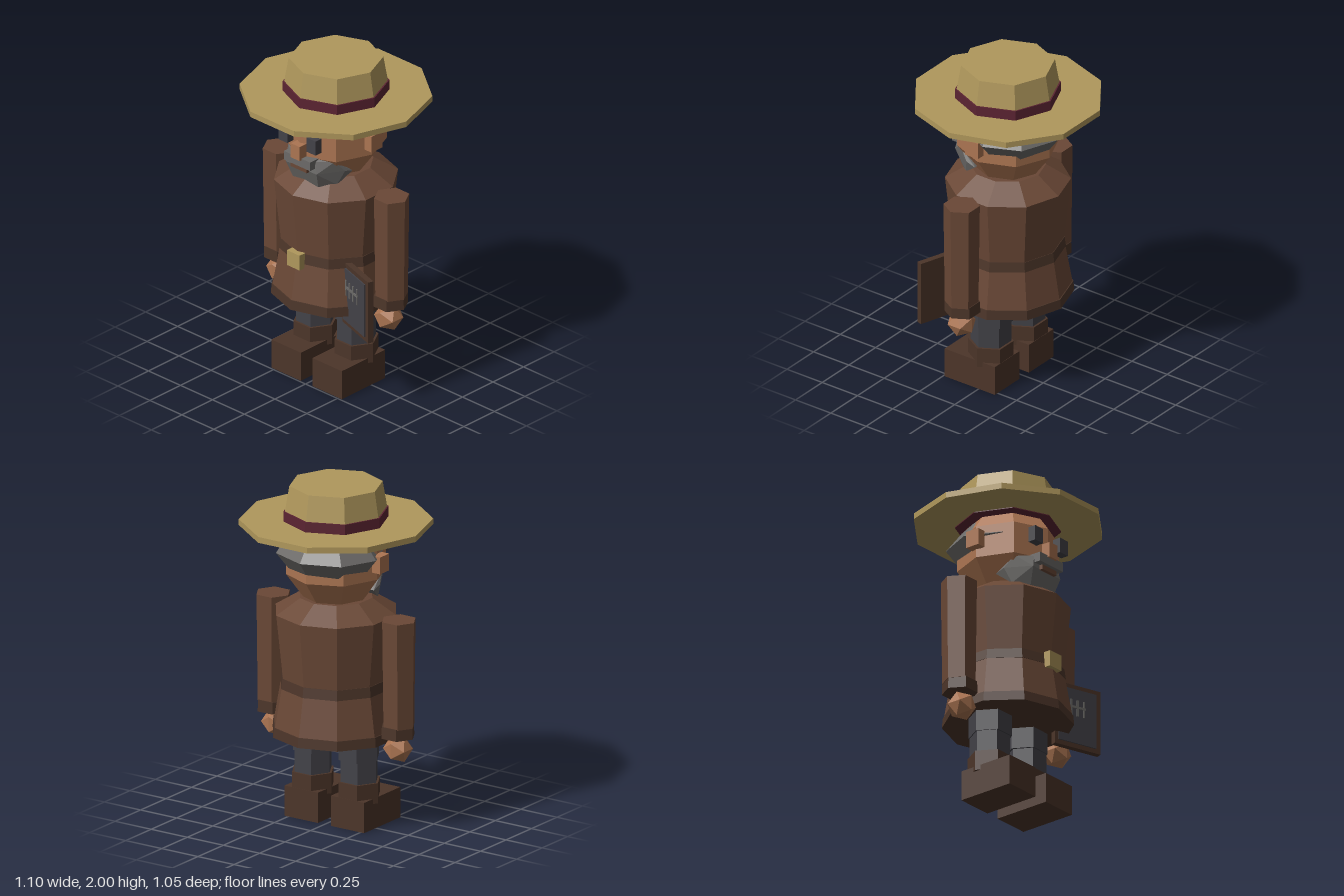
import * as THREE from 'three';
import { ConvexGeometry } from 'three/addons/geometries/ConvexGeometry.js';

const paint = (name, color) => {
  const m = new THREE.MeshStandardMaterial({ color, flatShading: true });
  m.name = name;
  return m;
};

export function createModel() {
  const straw = paint('straw', 0xb0985c);
  const wine = paint('wine', 0x5c2432);
  const skin = paint('skin', 0xac7552);
  const grey = paint('grey hair', 0x6c6a68);
  const coat = paint('brown coat', 0x6a4836);
  const leather = paint('dark leather', 0x4c3529);
  const slate = paint('slate', 0x434248);

  const model = new THREE.Group();
  model.name = 'figure';

  const add = (name, geometry, material, x = 0, y = 0, z = 0, parent = model) => {
    const mesh = new THREE.Mesh(geometry, material);
    mesh.name = name;
    mesh.position.set(x, y, z);
    parent.add(mesh);
    return mesh;
  };
  const box = (name, mat, w, h, d, x, y, z, parent) =>
    add(name, new THREE.BoxGeometry(w, h, d), mat, x, y, z, parent);
  // Faceted prism from y0 to y1; start turns its first corner
  const prism = (name, mat, sides, r0, r1, y0, y1, x = 0, z = 0, start = 0) =>
    add(name, new THREE.CylinderGeometry(r1, r0, y1 - y0, sides, 1, false, start), mat, x, (y0 + y1) / 2, z);
  const SIDE = Math.PI / 2;

  // Hat
  prism('hatBrim', straw, 10, 0.55, 0.55, 1.755, 1.79, 0, 0, SIDE);
  prism('hatBand', wine, 8, 0.302, 0.302, 1.75, 1.85);
  prism('hatCrown', straw, 8, 0.295, 0.268, 1.84, 2.0);

  // Head and hair
  const head = new THREE.SphereGeometry(0.31, 8, 5);
  add('head', head, skin, 0, 1.575, 0).scale.set(0.96, 1, 1);
  const hair = new THREE.SphereGeometry(1, 8, 4);
  hair.scale(0.32, 0.165, 0.295);
  add('hair', hair, grey, 0, 1.615, -0.06);

  // Face
  box('nose', skin, 0.07, 0.09, 0.07, 0, 1.52, 0.3);
  box('moustache', grey, 0.205, 0.055, 0.07, 0, 1.457, 0.285);
  box('mouth', coat, 0.125, 0.028, 0.05, 0, 1.41, 0.28);
  const beardHalf = [
    [0.1, 1.5, 0.2], [0.18, 1.47, 0.2], [0.205, 1.4, 0.14], [0.205, 1.38, 0.08],
    [0.17, 1.31, 0.17], [0.1, 1.3, 0.25], [0.1, 1.47, 0.275], [0.12, 1.4, 0.285],
  ];
  const beardPoints = beardHalf.flatMap(([x, y, z]) =>
    [new THREE.Vector3(x, y, z), new THREE.Vector3(-x, y, z)]);
  add('beard', new ConvexGeometry(beardPoints), grey);

  // Coat, belt and hem
  prism('shoulders', coat, 10, 0.357, 0.215, 1.25, 1.34);
  prism('coatUpper', coat, 10, 0.317, 0.357, 0.87, 1.25);
  prism('belt', leather, 10, 0.328, 0.32, 0.81, 0.87);
  prism('coatSkirt', coat, 10, 0.365, 0.325, 0.58, 0.81);
  prism('coatHem', leather, 10, 0.375, 0.37, 0.525, 0.583);
  box('buckle', straw, 0.1, 0.095, 0.045, 0, 0.832, 0.328);

  // Paired parts
  for (const [side, s] of [['left', 1], ['right', -1]]) {
    box(side + 'Eye', slate, 0.07, 0.09, 0.05, s * 0.11, 1.59, 0.295);
    box(side + 'Ear', skin, 0.055, 0.1, 0.09, s * 0.302, 1.58, 0.01);
    prism(side + 'Sleeve', coat, 6, 0.096, 0.104, 0.64, 1.27, s * 0.435, 0, SIDE);
    prism(side + 'Cuff', leather, 6, 0.103, 0.1, 0.575, 0.645, s * 0.428, 0, SIDE);
    add(side + 'Hand', new THREE.IcosahedronGeometry(0.085, 0), skin, s * 0.422, 0.5, 0.01);
    prism(side + 'Thigh', slate, 6, 0.125, 0.125, 0.4, 0.56, s * 0.157, 0, SIDE);
    prism(side + 'Shin', slate, 6, 0.116, 0.116, 0.25, 0.4, s * 0.16, 0, SIDE);
    prism(side + 'BootCuff', leather, 6, 0.13, 0.13, 0.15, 0.27, s * 0.16, 0, SIDE);
    box(side + 'Boot', leather, 0.23, 0.18, 0.355, s * 0.16, 0.09, 0.063);
  }

  // Framed board by the left hand, with a grey rack drawn on its panel
  const board = new THREE.Group();
  board.name = 'board';
  board.position.set(0.362, 0.645, 0.2);
  board.rotation.y = -0.31;
  model.add(board);
  box('boardFrame', leather, 0.305, 0.39, 0.035, 0, 0, 0, board);
  box('boardPanel', slate, 0.25, 0.335, 0.009, -0.005, 0, 0.02, board);
  box('rackBar', grey, 0.155, 0.014, 0.006, -0.03, 0.055, 0.027, board);
  for (let i = 0; i < 4; i++) {
    box('rackPeg', grey, 0.011, 0.1, 0.006, -0.09 + i * 0.042, 0.05, 0.027, board);
  }

  return model;
}
